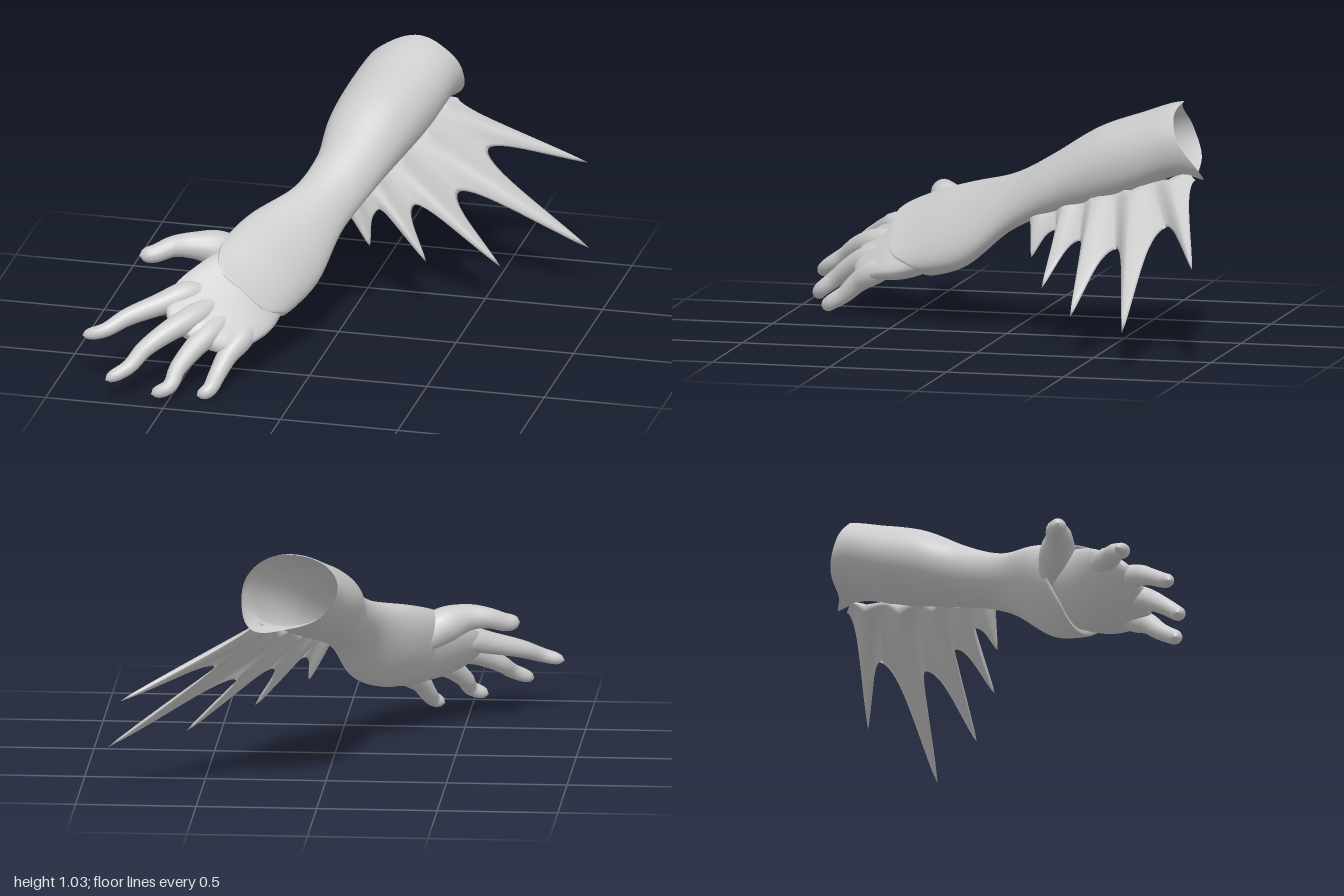
import * as THREE from 'three';

const material = new THREE.MeshStandardMaterial({ color: 0xcccccc, side: THREE.DoubleSide });
const V = (p) => new THREE.Vector3(p[0], p[1], p[2]);

// Smooth surface through rows of closed loops; point(u, v) gives a Vector3
function loft(name, rows, cols, point) {
  const pos = [], index = [];
  for (let j = 0; j <= rows; j++)
    for (let i = 0; i < cols; i++) pos.push(...point(j / rows, i / cols).toArray());
  for (let j = 0; j < rows; j++)
    for (let i = 0; i < cols; i++) {
      const a = j * cols + i, b = j * cols + (i + 1) % cols;
      index.push(a, b, a + cols, b, b + cols, a + cols);
    }
  const geo = new THREE.BufferGeometry();
  geo.setAttribute('position', new THREE.Float32BufferAttribute(pos, 3));
  geo.setIndex(index);
  geo.computeVertexNormals();
  const mesh = new THREE.Mesh(geo, material);
  mesh.name = name;
  return mesh;
}

// Tilted oval sections along z: [z, centre x, centre y, half width, height above, depth below, tilt]
function sections(table) {
  const spline = new THREE.CubicInterpolant(table.map((s) => s[0]), table.flatMap((s) => s.slice(1)), 6);
  return (z, phi, scale = 1) => {
    const [cx, cy, a, above, below, t] = spline.evaluate(z);
    const p = a * scale * Math.cos(phi), q = (phi < Math.PI ? above : below) * scale * Math.sin(phi);
    return new THREE.Vector3(cx + p * Math.cos(t) + q * Math.sin(t), cy - p * Math.sin(t) + q * Math.cos(t), z);
  };
}

// Smooth closed function through evenly spaced values around a loop
function around(values) {
  const curve = new THREE.CatmullRomCurve3(values.map((z) => new THREE.Vector3(z, 0, 0)), true, 'catmullrom', 0.5);
  return (v) => curve.getPoint(v).x;
}

// Finger: tube of changing radius with a rounded tip, points [x, y, z, radius]
function finger(name, points) {
  const curve = new THREE.CatmullRomCurve3(points.map(V));
  const rows = 40, frames = curve.computeFrenetFrames(rows);
  const radii = new THREE.CatmullRomCurve3(points.map((p) => new THREE.Vector3(p[3], 0, 0)));
  return loft(name, rows, 16, (u, v) => {
    const j = Math.round(u * rows), cap = Math.max(0, (u - 0.92) / 0.08);
    const r = radii.getPoint(curve.getUtoTmapping(u)).x * Math.sqrt(Math.max(0, 1 - cap * cap));
    const phi = v * Math.PI * 2;
    return curve.getPointAt(u)
      .addScaledVector(frames.normals[j], r * Math.cos(phi))
      .addScaledVector(frames.binormals[j], r * Math.sin(phi));
  });
}

function sleeve() {
  const at = sections([
    [-0.95, 0.15, 0.85, 0.19, 0.15, 0.15, 0.05],
    [-0.8, 0.125, 0.88, 0.195, 0.152, 0.152, 0.05],
    [-0.6, 0.07, 0.81, 0.198, 0.16, 0.16, 0],
    [-0.4, 0.025, 0.735, 0.176, 0.155, 0.155, 0.1],
    [-0.2, -0.015, 0.637, 0.138, 0.123, 0.123, 0.35],
    [0, -0.09, 0.535, 0.135, 0.098, 0.098, 0.75],
    [0.2, -0.19, 0.425, 0.2, 0.115, 0.13, 0.78],
    [0.35, -0.245, 0.38, 0.205, 0.1, 0.155, 0.76],
    [0.5, -0.292, 0.345, 0.19, 0.07, 0.13, 0.7],
    [0.6, -0.305, 0.32, 0.18, 0.05, 0.1, 0.7]]);
  const back = around([-0.82, -0.78, -0.79, -0.75, -0.78, -0.83, -0.85, -0.91]);
  const front = around([0.42, 0.54, 0.56, 0.54, 0.37, 0.29, 0.33, 0.36]);
  // The last rows turn inward as a lip at the hand
  return loft('sleeve', 72, 64, (u, v) => {
    const phi = v * Math.PI * 2;
    const k = Math.min(1, u / 0.97), lip = Math.max(0, (u - 0.97) / 0.03);
    const z = THREE.MathUtils.lerp(back(v), front(v), k);
    // Towards the elbow a keel carries the fin and the opposite side is flatter
    const fade = THREE.MathUtils.smoothstep(-z, 0.1, 0.6), c = Math.cos(phi + 0.85);
    const keel = fade * (0.09 * Math.max(0, c) ** 8 - 0.08 * Math.max(0, -c) ** 3);
    return at(z, phi, (1 - 0.1 * lip) * (1 + keel));
  });
}

function hand() {
  const group = new THREE.Group();
  group.name = 'hand';
  const at = sections([
    [0.2, -0.2, 0.41, 0.12, 0.07, 0.08, 0.75],
    [0.4, -0.275, 0.355, 0.18, 0.08, 0.13, 0.72],
    [0.5, -0.32, 0.32, 0.205, 0.068, 0.12, 0.58],
    [0.58, -0.36, 0.292, 0.212, 0.057, 0.1, 0.47],
    [0.66, -0.395, 0.258, 0.186, 0.047, 0.075, 0.45],
    [0.72, -0.42, 0.232, 0.14, 0.037, 0.05, 0.45],
    [0.75, -0.43, 0.22, 0.07, 0.015, 0.02, 0.45]]);
  group.add(loft('palm', 36, 40, (u, v) => at(0.2 + 0.55 * u, v * Math.PI * 2, u === 0 || u === 1 ? 0 : 1)));
  group.add(
    finger('thumb', [[-0.28, 0.39, 0.27, 0.055], [-0.42, 0.465, 0.35, 0.075], [-0.52, 0.49, 0.4, 0.056],
      [-0.6, 0.485, 0.42, 0.044], [-0.67, 0.46, 0.455, 0.038], [-0.73, 0.455, 0.48, 0.03]]),
    finger('indexFinger', [[-0.38, 0.335, 0.48, 0.03], [-0.5, 0.35, 0.59, 0.054], [-0.6, 0.32, 0.66, 0.046],
      [-0.72, 0.28, 0.735, 0.037], [-0.8, 0.24, 0.8, 0.03], [-0.89, 0.215, 0.815, 0.024]]),
    finger('middleFinger', [[-0.34, 0.32, 0.5, 0.03], [-0.45, 0.285, 0.67, 0.054], [-0.54, 0.245, 0.77, 0.045],
      [-0.62, 0.19, 0.85, 0.036], [-0.665, 0.14, 0.93, 0.031], [-0.75, 0.095, 0.985, 0.026]]),
    finger('ringFinger', [[-0.3, 0.285, 0.52, 0.03], [-0.375, 0.23, 0.68, 0.052], [-0.43, 0.18, 0.77, 0.044],
      [-0.475, 0.12, 0.85, 0.036], [-0.495, 0.065, 0.92, 0.031], [-0.565, 0.035, 0.945, 0.026]]),
    finger('littleFinger', [[-0.23, 0.255, 0.5, 0.03], [-0.26, 0.19, 0.63, 0.052], [-0.3, 0.138, 0.71, 0.043],
      [-0.325, 0.08, 0.775, 0.036], [-0.345, 0.035, 0.845, 0.031], [-0.39, 0.014, 0.865, 0.024]]));
  return group;
}

// Webbed fin: five ribbed spikes fanning from the underside of the forearm
function fin() {
  const root = new THREE.CatmullRomCurve3([
    [0, 0.51, -0.07], [0.05, 0.565, -0.25], [0.11, 0.62, -0.42], [0.18, 0.685, -0.63], [0.24, 0.745, -0.84]].map(V));
  const tips = [[0.1, 0.34, -0.13], [0.315, 0.25, -0.23], [0.585, 0.18, -0.42], [0.89, 0.175, -0.72], [0.815, 0.44, -1]].map(V);
  const valleys = [[0, 0.49, -0.09], [0.11, 0.46, -0.24], [0.23, 0.44, -0.37], [0.37, 0.435, -0.56],
    [0.44, 0.545, -0.79], [0.29, 0.725, -0.88]].map(V);
  const normal = new THREE.Vector3(-0.59, -0.7, -0.4).normalize();
  return loft('fin', 160, 32, (u, v) => {
    const f = Math.min(u * 5, 4.9999), i = Math.floor(f), h = (f - i) * 2 - 1;
    const s = Math.abs(h) * Math.PI / 2, a = Math.sin(s), tip = tips[i];
    const valley = valleys[h < 0 ? i : i + 1];
    // Split the way to the valley into a run along the spike and a sideways run
    const axis = root.getPoint((i + 0.5) / 5).sub(tip).normalize();
    const run = valley.clone().sub(tip);
    const along = axis.multiplyScalar(run.dot(axis));
    const side = run.sub(along);
    // Blunt tip, nearly straight edge, round valley
    const edge = tip.clone().addScaledVector(along, a)
      .addScaledVector(side, 0.14 * Math.sqrt(a) + 0.45 * a + 0.41 * (1 - Math.sqrt(1 - Math.min(1, a ** 6))));
    // Out along one face, back along the other
    const w = v * 2, k = w < 1 ? w : 2 - w;
    const thick = (0.005 + 0.02 * Math.cos(s) ** 2) * (1 - k) ** 0.5;
    return root.getPoint(u).lerp(edge, k).addScaledVector(normal, w < 1 ? thick : -thick);
  });
}

export function createModel() {
  const model = new THREE.Group();
  model.name = 'finnedGlove';
  model.add(sleeve(), hand(), fin());
  return model;
}
